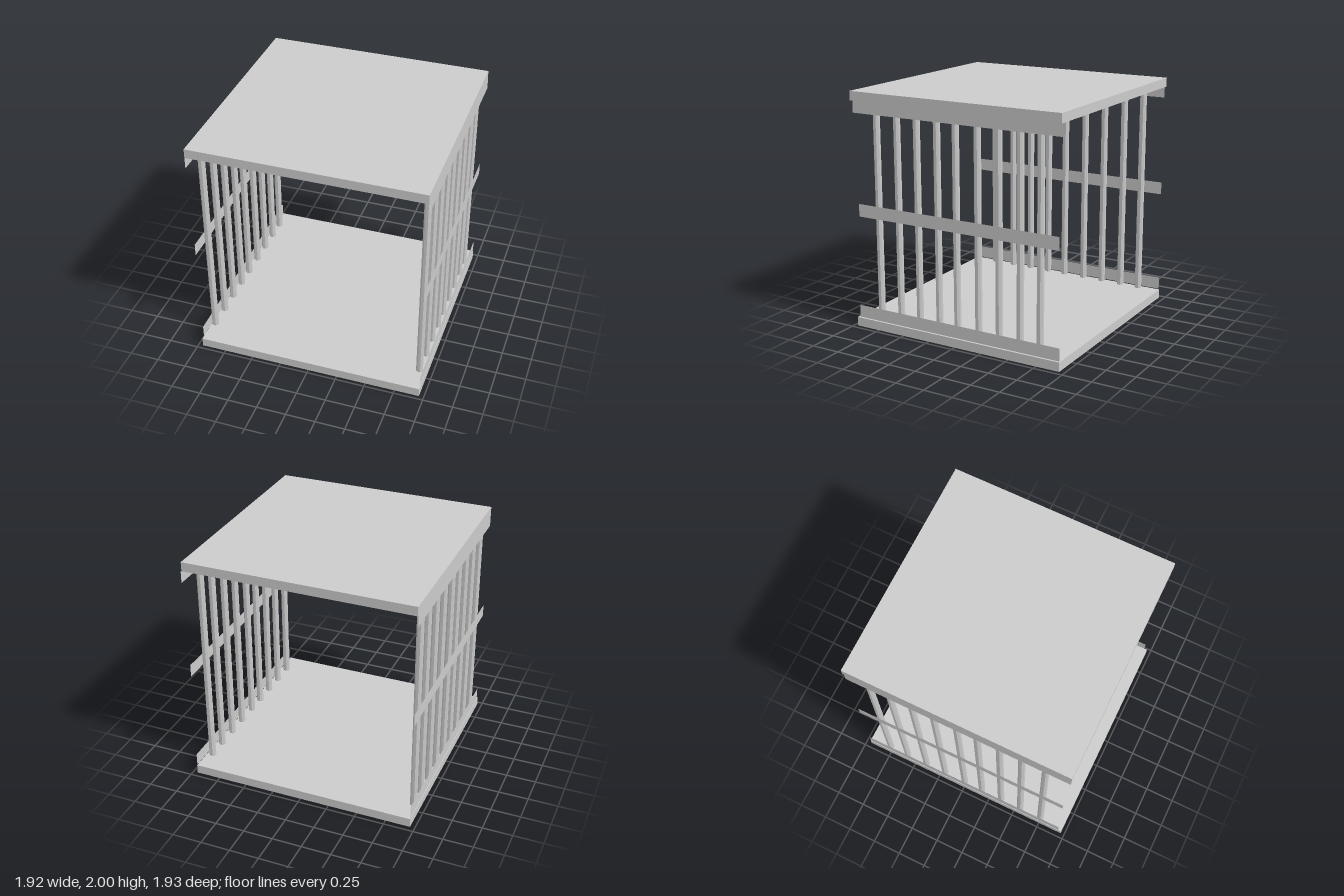
import * as THREE from 'three';

export function createModel() {
  const model = new THREE.Group();
  const grey = new THREE.MeshStandardMaterial({ color: 0xcccccc, flatShading: true });
  const thin = new THREE.MeshStandardMaterial({ color: 0xcccccc, side: THREE.DoubleSide });

  function add(name, geometry, material, x, y, z) {
    const mesh = new THREE.Mesh(geometry, material);
    mesh.name = name;
    mesh.position.set(x, y, z);
    model.add(mesh);
    return mesh;
  }

  // Floor and roof slabs
  const slab = new THREE.BoxGeometry(1.92, 0.077, 1.922);
  add('floor', slab, grey, 0, 0.0385, 0.006);
  add('roof', slab, grey, 0, 1.9615, 0.006);

  // Flat strips along both sides, given by height range and z range
  function rail(name, x, y0, y1, z0, z1) {
    const strip = new THREE.PlaneGeometry(z1 - z0, y1 - y0);
    add(name, strip, thin, x, (y0 + y1) / 2, (z0 + z1) / 2).rotation.y = Math.sign(x) * Math.PI / 2;
  }
  rail('leftTopRail', 0.96, 1.826, 1.923, -0.967, 0.94);
  rail('rightTopRail', -0.96, 1.826, 1.923, -0.94, 0.967);
  rail('leftMiddleRail', 0.955, 0.963, 1.07, -0.945, 0.915);
  rail('rightMiddleRail', -0.96, 0.963, 1.07, -0.94, 0.94);
  rail('leftBottomRail', 0.957, 0.084, 0.19, -0.955, 0.94);
  rail('rightBottomRail', -0.957, 0.084, 0.19, -0.95, 0.94);

  // Nine upright bars per side, each row very slightly out of line
  const bar = new THREE.CylinderGeometry(0.029, 0.029, 1.846, 8);
  bar.rotateY(Math.PI / 8);
  const barZ = [0.749, 0.55, 0.36, 0.169, -0.005, -0.204, -0.394, -0.585, -0.762];
  for (const z of barZ) {
    add('leftBar', bar, grey, 0.906 - z * 0.005, 1, z);
    add('rightBar', bar, grey, -0.926 - z * 0.006, 1, z);
  }

  return model;
}
